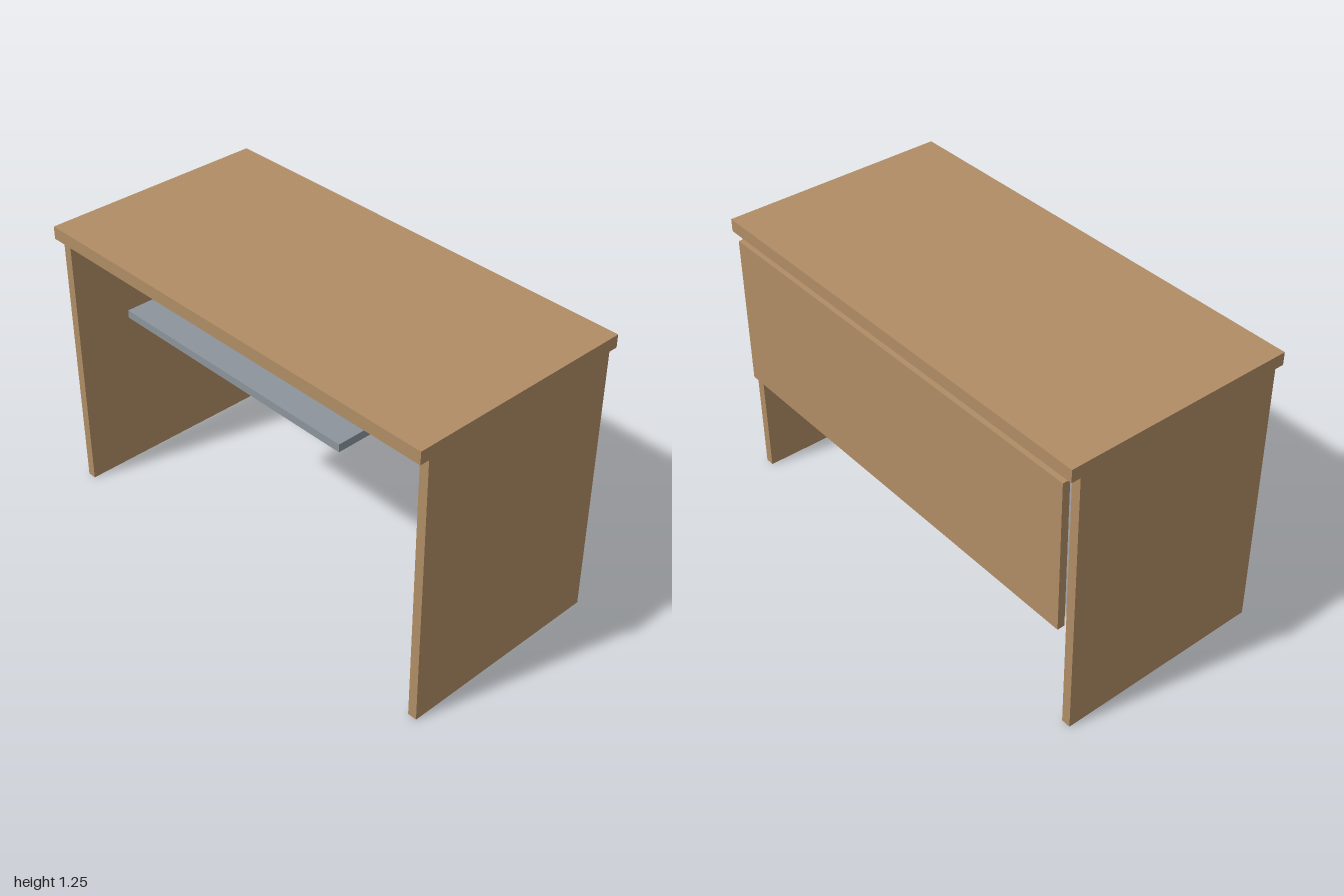
import * as THREE from 'three';

export function createModel() {
  const desk = new THREE.Group();
  desk.name = 'desk';
  const wood = new THREE.MeshStandardMaterial({ color: 0xb08d65 });
  const metal = new THREE.MeshStandardMaterial({ color: 0x8c949b });

  // Adds a board spanning the given [min, max] ranges
  function board(name, material, [x0, x1], [y0, y1], [z0, z1]) {
    const mesh = new THREE.Mesh(new THREE.BoxGeometry(x1 - x0, y1 - y0, z1 - z0), material);
    mesh.position.set((x0 + x1) / 2, (y0 + y1) / 2, (z0 + z1) / 2);
    mesh.name = name;
    desk.add(mesh);
  }

  board('tabletop', wood, [-1, 1], [1.195, 1.25], [-0.5, 0.5]);

  // Solid side panels carrying the top
  board('leftSidePanel', wood, [0.96, 1], [0, 1.195], [-0.46, 0.46]);
  board('rightSidePanel', wood, [-1, -0.96], [0, 1.195], [-0.46, 0.46]);

  // Modesty panel, set just behind the sides with a gap under the top
  board('backPanel', wood, [-0.96, 0.96], [0.5, 1.168], [-0.5, -0.468]);

  // Keyboard tray
  board('keyboardTray', metal, [-0.59, 0.59], [1.003, 1.036], [-0.07, 0.467]);

  return desk;
}
